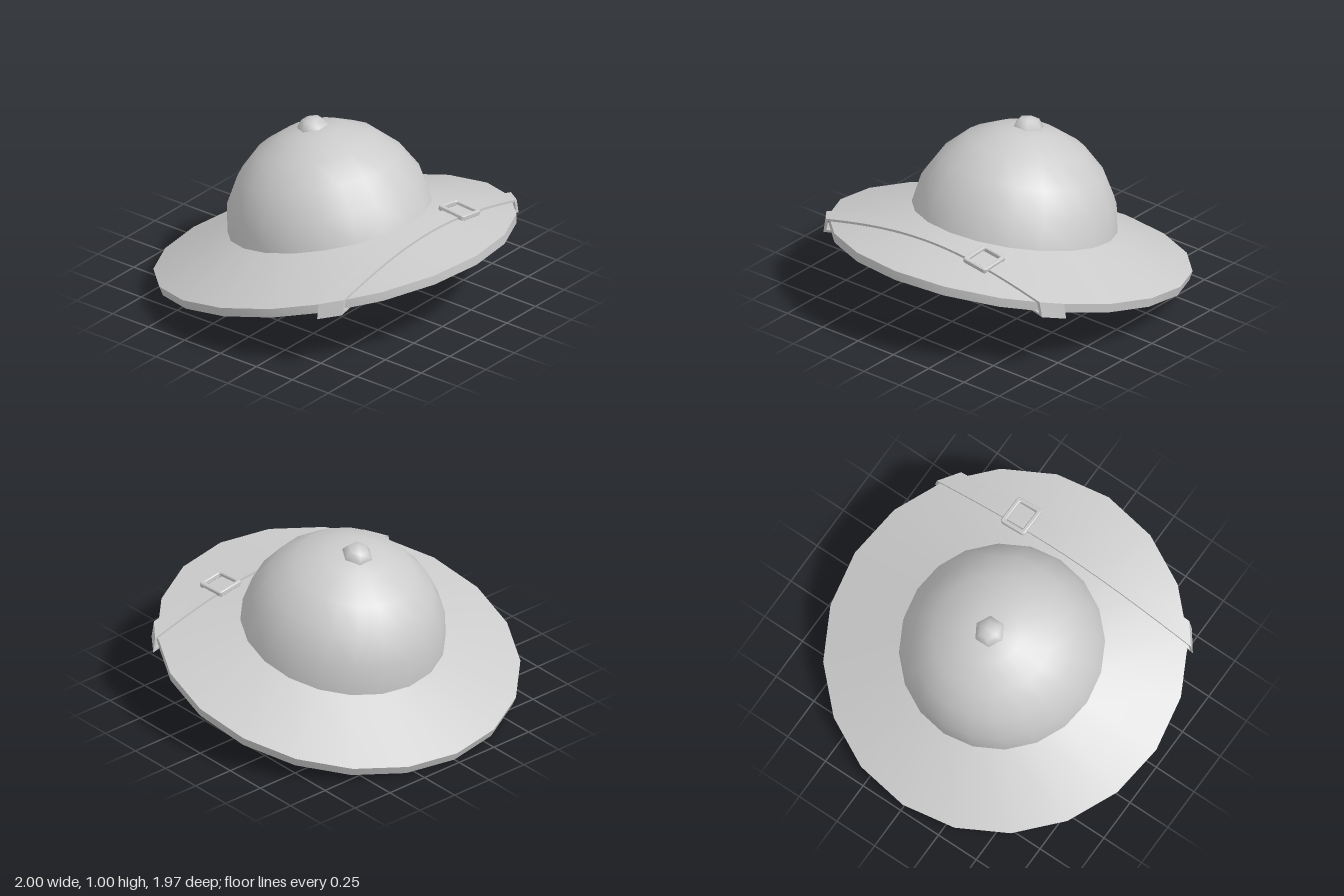
import * as THREE from 'three';
import { toCreasedNormals } from 'three/addons/utils/BufferGeometryUtils.js';

const TILT = 0.23, COS = Math.cos(TILT), SIN = Math.sin(TILT);
const CENTRE_Z = 0.065, STRETCH = 1.01, SLOPE = 0.352;
const RIM_TOP = 0.272, RIM_BOTTOM = 0.2155;

const material = new THREE.MeshStandardMaterial({ color: 0xcccccc });

function part(name, geometry, crease = 0.6) {
  const mesh = new THREE.Mesh(toCreasedNormals(geometry, crease), material);
  mesh.name = name;
  return mesh;
}

const lathe = (points, sides, start = 0) =>
  new THREE.LatheGeometry(points.map(([r, y]) => new THREE.Vector2(r, y)), sides, start);

// Height of the tilted brim cone at x, z; level is its height at the rim
function brimY(x, z, level) {
  let y = 0.4;
  for (let i = 0; i < 8; i++) {
    const r = Math.hypot(x, (z * COS + y * SIN - CENTRE_Z) / STRETCH);
    y = (level + (1 - r) * SLOPE + z * SIN) / COS;
  }
  return y;
}

// Half width of the tilted brim at z, for a given rim radius and level
function edgeX(z, radius, level) {
  const y = (level + z * SIN) / COS;
  const dz = (z * COS + y * SIN - CENTRE_Z) / STRETCH;
  return Math.sqrt(radius * radius - dz * dz);
}

// Closed band over the brim, round its edge and back underneath
function strapGeometry(zBack, zFront, thickness) {
  const steps = 32, rings = [];
  const corners = [[zBack, 0], [zBack, thickness], [zFront, thickness], [zFront, 0]];
  for (const side of [1, -1]) {
    for (let i = 0; i <= steps; i++) {
      const s = side * (2 * i / steps - 1);
      rings.push(corners.map(([z, off]) => {
        const level = side > 0 ? RIM_TOP + off : RIM_BOTTOM - off;
        const x = s * edgeX(z, 1.002 + off, level);
        return [x, brimY(x, z, level), z];
      }));
    }
  }
  const index = [], n = rings.length;
  for (let k = 0; k < n; k++) {
    for (let j = 0; j < 4; j++) {
      const next = ((k + 1) % n) * 4, j2 = (j + 1) % 4;
      const a = k * 4 + j, b = k * 4 + j2, c = next + j, d = next + j2;
      index.push(a, b, c, b, d, c);
    }
  }
  const geometry = new THREE.BufferGeometry();
  geometry.setAttribute('position', new THREE.Float32BufferAttribute(rings.flat(2), 3));
  geometry.setIndex(index);
  return geometry;
}

// Rectangle with rounded corners
function roundedRect(target, w, h, r) {
  const x = w / 2, y = h / 2;
  target.moveTo(-x + r, -y);
  target.lineTo(x - r, -y).quadraticCurveTo(x, -y, x, -y + r);
  target.lineTo(x, y - r).quadraticCurveTo(x, y, x - r, y);
  target.lineTo(-x + r, y).quadraticCurveTo(-x, y, -x, y - r);
  target.lineTo(-x, -y + r).quadraticCurveTo(-x, -y, -x + r, -y);
  return target;
}

export function createModel() {
  const model = new THREE.Group();
  model.name = 'sunHelmet';

  // Tilted hat body
  const hat = new THREE.Group();
  hat.name = 'hat';
  hat.rotation.x = -TILT;
  hat.position.set(0, CENTRE_Z * SIN, CENTRE_Z * COS);
  hat.scale.z = STRETCH;
  model.add(hat);

  // Shell: lining, underside, rim, brim top and dome in one profile
  hat.add(part('helmetShell', lathe([
    [0, 0.92], [0.13, 0.9], [0.25, 0.83], [0.33, 0.73], [0.37, 0.6], [0.38, 0.43],
    [0.99, 0.219], [1, 0.272], [0.565, 0.425],
    [0.537, 0.585], [0.452, 0.735], [0.33, 0.855], [0.17, 0.933], [0, 0.957],
  ], 20)));

  // Knob on the crown
  hat.add(part('crownKnob', lathe([
    [0.088, 0.93], [0.085, 0.955], [0.055, 0.993], [0, 1.008],
  ], 6, Math.PI / 2), 1.1));

  // Strap round the front of the brim
  model.add(part('strap', strapGeometry(0.557, 0.665, 0.014)));

  // Buckle frame lying on the strap
  const shape = roundedRect(new THREE.Shape(), 0.16, 0.18, 0.018);
  shape.holes.push(roundedRect(new THREE.Path(), 0.112, 0.135, 0.01));
  const buckle = part('buckle', new THREE.ExtrudeGeometry(shape, {
    depth: 0.02, curveSegments: 3, bevelThickness: 0.005, bevelSize: 0.005, bevelOffset: -0.005, bevelSegments: 1,
  }));
  const x = 0.32, z = 0.612, d = 0.05;
  const height = (px, pz) => brimY(px, pz, RIM_TOP);
  const across = new THREE.Vector3(2 * d, height(x + d, z) - height(x - d, z), 0).normalize();
  const forward = new THREE.Vector3(0, height(x, z + d) - height(x, z - d), 2 * d);
  const up = forward.cross(across).normalize();
  const along = new THREE.Vector3().crossVectors(up, across);
  buckle.quaternion.setFromRotationMatrix(new THREE.Matrix4().makeBasis(across, along, up));
  buckle.position.set(x, height(x, z) + 0.006, z);
  model.add(buckle);

  return model;
}
